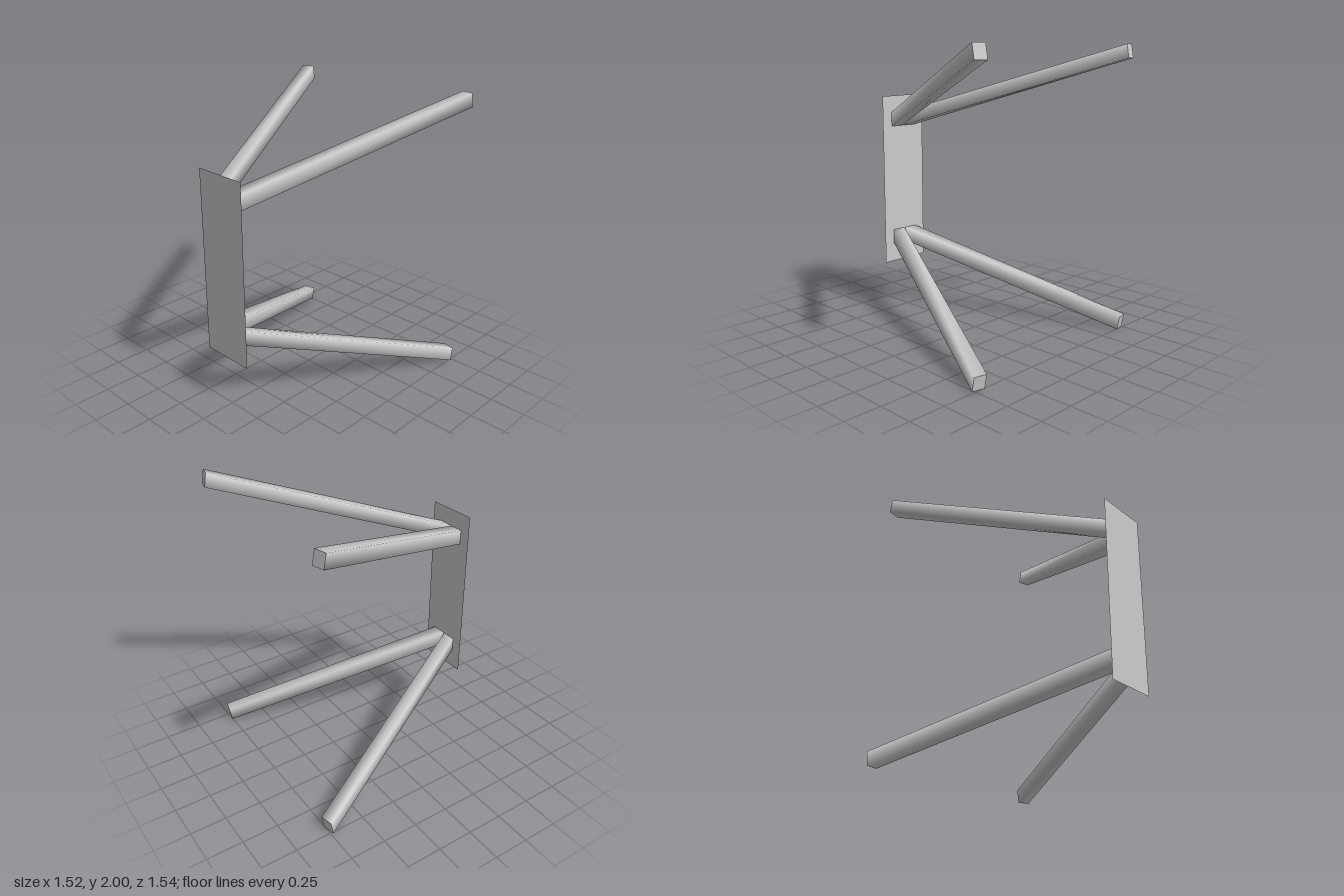
import * as THREE from 'three';
import { mergeGeometries } from 'three/addons/utils/BufferGeometryUtils.js';

const FRONT = 0.77;

// indexed surface with averaged normals
function surface(points, index) {
  const g = new THREE.BufferGeometry();
  g.setAttribute('position', new THREE.Float32BufferAttribute(points.flat(), 3));
  g.setIndex(index);
  g.computeVertexNormals();
  return g;
}

// square bar from the plate (cut flush) out to a slanted end; sx, sy pick the corner
function armGeometry(sx, sy) {
  const startY = sy > 0 ? 1.452 : 0.555;
  // section corners: u = inner/outer, v = towards/away from mid height
  const corners = [[-1, -1], [1, -1], [1, 1], [-1, 1]];
  const start = corners.map(([u, v]) =>
    [sx * (0.057 + 0.052 * u), startY + sy * 0.052 * v, FRONT]);
  const end = corners.map(([u, v]) =>
    [sx * (0.719 + 0.043 * u), 1 + sy * (0.953 + 0.047 * v), -0.752 + 0.01 * u + 0.0085 * v]);

  const flip = sx * sy < 0;
  const wind = (list) => {
    const out = [];
    for (let i = 0; i < list.length; i += 3) {
      out.push(list[i], list[i + (flip ? 2 : 1)], list[i + (flip ? 1 : 2)]);
    }
    return out;
  };
  const sides = [];
  for (let i = 0; i < 4; i++) {
    const j = (i + 1) % 4;
    sides.push(i, i + 4, j + 4, i, j + 4, j);
  }
  return mergeGeometries([
    surface([...start, ...end], wind(sides)),
    surface(start, wind([0, 1, 2, 0, 2, 3])),
    surface(end, wind([0, 2, 1, 0, 3, 2])),
  ]);
}

export function createModel() {
  const model = new THREE.Group();
  model.name = 'bracedPanel';
  const grey = new THREE.MeshStandardMaterial({ color: 0xcccccc });
  const thin = new THREE.MeshStandardMaterial({ color: 0xcccccc, side: THREE.DoubleSide });

  // thin front plate, edges very slightly out of level
  const outline = new THREE.Shape([
    new THREE.Vector2(-0.19, 0.367), new THREE.Vector2(0.19, 0.36),
    new THREE.Vector2(0.19, 1.624), new THREE.Vector2(-0.19, 1.631),
  ]);
  const plate = new THREE.Mesh(new THREE.ShapeGeometry(outline), thin);
  plate.name = 'frontPlate';
  plate.position.z = FRONT + 0.001;
  model.add(plate);

  // four arms spreading backwards
  for (const sy of [1, -1]) {
    for (const sx of [1, -1]) {
      const arm = new THREE.Mesh(armGeometry(sx, sy), grey);
      arm.name = (sy > 0 ? 'upper' : 'lower') + (sx > 0 ? 'Left' : 'Right') + 'Arm';
      model.add(arm);
    }
  }
  return model;
}
